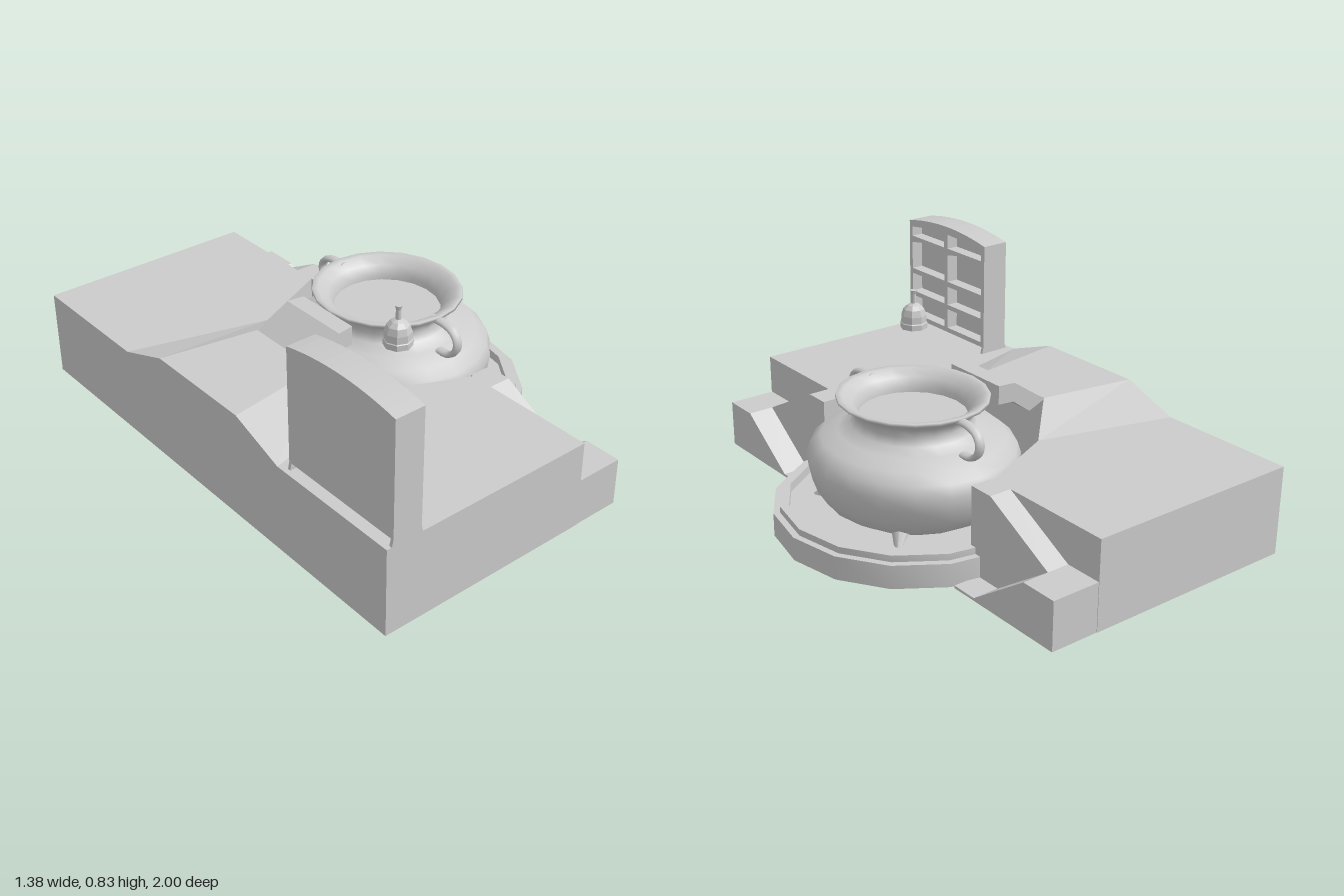
import * as THREE from 'three';
import { toCreasedNormals } from 'three/addons/utils/BufferGeometryUtils.js';

const mat = (flat, side = THREE.FrontSide) =>
  new THREE.MeshStandardMaterial({ color: 0xcccccc, flatShading: flat, side });
const FLAT = mat(true), SMOOTH = mat(false), SHEET = mat(true, THREE.DoubleSide);
const POT_X = 0.165;

function add(parent, name, geometry, material = FLAT) {
  const mesh = new THREE.Mesh(geometry, material);
  mesh.name = name;
  parent.add(mesh);
  return mesh;
}
const v2 = (pts) => pts.map(([x, y]) => new THREE.Vector2(x, y));
const shapeOf = (pts) => new THREE.Shape(v2(pts));
const lathe = (pts, sides) => new THREE.LatheGeometry(v2(pts), sides);
const extrude = (shape, depth) => new THREE.ExtrudeGeometry(shape, { depth, bevelEnabled: false });

// Extrudes a (z, y) outline along x, from x0 to x1
const alongX = (shape, x0, x1) => extrude(shape, x1 - x0).rotateY(-Math.PI / 2).translate(x1, 0, 0);

// Flat polygons, each a convex loop of points
function polygons(loops) {
  const pos = [];
  for (const p of loops)
    for (let i = 1; i < p.length - 1; i++) pos.push(...p[0], ...p[i], ...p[i + 1]);
  const g = new THREE.BufferGeometry();
  g.setAttribute('position', new THREE.Float32BufferAttribute(pos, 3));
  g.computeVertexNormals();
  return g;
}

// Opening or panel in (z, y) whose top runs from yA (at z0) to yB (at z1), curved by bulge
function archPath(PathType, z0, z1, y0, yA, yB, bulge) {
  const p = new PathType();
  p.moveTo(z0, y0);
  p.lineTo(z1, y0);
  p.lineTo(z1, yB);
  if (bulge) p.quadraticCurveTo((z0 + z1) / 2, (yA + yB) / 2 + bulge, z0, yA);
  else p.lineTo(z0, yA);
  p.closePath();
  return p;
}

function makePlatform() {
  const g = new THREE.Group();
  g.name = 'platform';
  // Block with a faceted recess for the pot
  const notch = [[0.17, 0.465], [-0.16, 0.315], [-0.31, 0.17]];
  const half = [[-0.69, 0.997], [0.17, 0.997], ...notch];
  const outline = [...half, ...half.map(([x, z]) => [x, -z]).reverse()];
  add(g, 'block', extrude(shapeOf(outline), 0.34).rotateX(-Math.PI / 2));

  // Raised mound behind the pot
  const loops = [[[-0.69, 0.42, -0.23], [-0.69, 0.42, 0.23], [-0.31, 0.42, 0.17], [-0.31, 0.42, -0.17]],
    [[-0.69, 0.34, -0.455], [-0.69, 0.34, 0.455], [-0.69, 0.42, 0.23], [-0.69, 0.42, -0.23]],
    [[-0.31, 0.34, 0.17], [-0.31, 0.34, -0.17], [-0.31, 0.42, -0.17], [-0.31, 0.42, 0.17]]];
  for (const s of [1, -1]) {
    const foot0 = [-0.69, 0.34, s * 0.455], foot1 = [-0.16, 0.34, s * 0.315];
    const top0 = [-0.69, 0.42, s * 0.23], top1 = [-0.31, 0.42, s * 0.17];
    const sides = [[foot0, foot1, top1, top0], [foot1, [-0.31, 0.34, s * 0.17], top1]];
    loops.push(...sides.map((l) => (s > 0 ? l : [...l].reverse())));
  }
  add(g, 'mound', polygons(loops), SHEET);

  // Stepped ramps on both sides
  for (const s of [1, -1]) {
    const upper = [[0.455, 0], [0.995, 0], [0.995, 0.185], [0.85, 0.185], [0.555, 0.34], [0.455, 0.34]];
    const lower = [[0.495, 0], [0.995, 0], [0.995, 0.185], [0.85, 0.185], [0.6, 0.01], [0.495, 0.01]];
    const side = (pts) => shapeOf(pts.map(([z, y]) => [s * z, y]));
    add(g, 'upperRamp', alongX(side(upper), 0.17, 0.257));
    add(g, 'lowerRamp', alongX(side(lower), 0.257, 0.36));
  }

  // Ledge that reaches from the mound to the pot's rim, narrowing on the way
  const ledge = extrude(shapeOf([[-0.315, 0.415], [-0.25, 0.38], [-0.18, 0.432],
    [-0.118, 0.432], [-0.118, 0.505], [-0.185, 0.505]]), 2).translate(0, 0, -1);
  const p = ledge.attributes.position;
  for (let i = 0; i < p.count; i++)
    p.setZ(i, p.getZ(i) * THREE.MathUtils.mapLinear(p.getX(i), -0.315, -0.118, 0.168, 0.14));
  ledge.computeVertexNormals();
  add(g, 'ledge', ledge);
  return g;
}

function makePot() {
  const g = new THREE.Group();
  g.name = 'pot';
  g.position.x = POT_X;
  // Round plinth with a stepped rim and an inner floor
  const rim = lathe([[0.523, 0], [0.523, 0.09], [0.498, 0.09], [0.498, 0.115], [0.465, 0.115],
    [0.465, 0], [0.523, 0]], 16);
  add(g, 'plinthRim', toCreasedNormals(rim, 0.6), SMOOTH);
  add(g, 'plinthFloor', new THREE.CircleGeometry(0.466, 16).rotateX(-Math.PI / 2).translate(0, 0.08, 0), SHEET);

  // Rounded body, neck and flared lip, slightly narrower in x
  const body = [[0, 0.035], [0.16, 0.05], [0.28, 0.075], [0.345, 0.115], [0.378, 0.165], [0.398, 0.22],
    [0.405, 0.27], [0.39, 0.315], [0.35, 0.35], [0.285, 0.373], [0.238, 0.395], [0.222, 0.425], [0.236, 0.458],
    [0.268, 0.48], [0.29, 0.494], [0.288, 0.504], [0.265, 0.502], [0.228, 0.478], [0.207, 0.445], [0.207, 0.41]];
  add(g, 'body', lathe(body, 20), SMOOTH).scale.x = 0.95;
  add(g, 'contents', new THREE.CircleGeometry(0.208, 20).rotateX(-Math.PI / 2).translate(0, 0.425, 0), SHEET)
    .scale.x = 0.95;

  // Flat strap handles that curl back onto the shoulder
  for (const s of [1, -1]) {
    const path = new THREE.CatmullRomCurve3([[0.25, 0.488], [0.32, 0.488], [0.365, 0.472], [0.385, 0.436],
      [0.375, 0.4], [0.345, 0.375], [0.29, 0.367]].map(([z, y]) => new THREE.Vector3(0, y, s * z)));
    add(g, 'handle', new THREE.TubeGeometry(path, 18, 0.012, 8), SMOOTH).scale.x = 1.7;
  }
  // Pointed feet on the diagonals
  for (let i = 0; i < 4; i++) {
    const foot = add(g, 'foot', new THREE.ConeGeometry(0.035, 0.13, 8)
      .rotateZ(-2.1).translate(0.355, 0.08, 0), SMOOTH);
    foot.rotation.y = Math.PI / 4 + i * Math.PI / 2;
  }
  return g;
}

function makeCabinet() {
  const g = new THREE.Group();
  g.name = 'cabinet';
  const z0 = 0.487, z1 = 0.998, back = -0.665, front = -0.552;
  const outline = () => archPath(THREE.Shape, z0, z1, 0.365, 0.8, 0.8, 0.055);
  add(g, 'backPanel', alongX(outline(), back, front - 0.05));
  // Front frame with two columns of open shelves
  const frame = outline();
  for (const [a, b, outer] of [[0.507, 0.732, 0], [0.754, 0.979, 1]]) {
    frame.holes.push(
      archPath(THREE.Path, a, b, 0.735, outer ? 0.795 : 0.775, outer ? 0.775 : 0.795, 0.008),
      archPath(THREE.Path, a, b, 0.59, 0.705, 0.705, 0.03),
      archPath(THREE.Path, a, b, 0.488, 0.568, 0.568, 0),
      archPath(THREE.Path, a, b, 0.385, 0.468, 0.468, 0));
  }
  add(g, 'shelfFrame', alongX(frame, front - 0.05, front));
  // Thin runners under both ends, flared at the bottom
  const runner = shapeOf([[back - 0.006, 0.34], [front + 0.006, 0.34], [front, 0.366], [back, 0.366]]);
  for (const z of [z0, z1 - 0.012]) add(g, 'runner', extrude(runner, 0.012).translate(0, 0, z));
  return g;
}

function makeBell() {
  const g = new THREE.Group();
  g.name = 'handBell';
  g.position.set(-0.142, 0.57, 0.412);
  add(g, 'bellBody', lathe([[0, 0], [0.053, 0], [0.053, 0.022], [0.05, 0.025], [0.049, 0.052],
    [0.041, 0.077], [0.025, 0.092], [0.01, 0.099]], 8));
  add(g, 'bellHandle', lathe([[0.01, 0.097], [0.009, 0.135], [0.014, 0.151], [0, 0.151]], 8));
  return g;
}

export function createModel() {
  const model = new THREE.Group();
  model.name = 'potOnPlatform';
  model.add(makePlatform(), makePot(), makeCabinet(), makeBell());
  return model;
}
